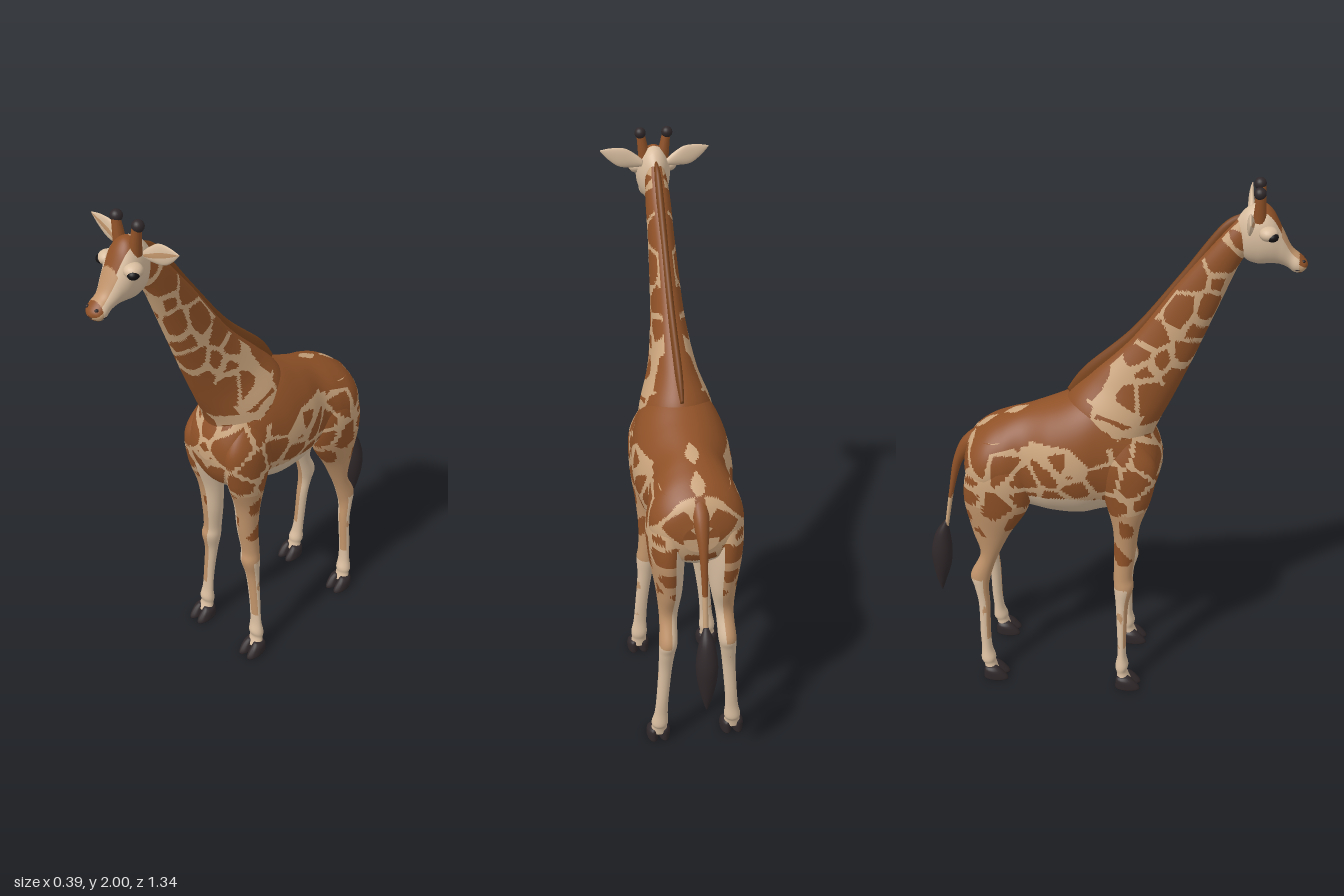
import * as THREE from 'three';

const mat = (name, color) => Object.assign(new THREE.MeshStandardMaterial({ color }), { name });
const MATS = [
  mat('patchBrown', 0x8f5127), mat('lineTan', 0xcaa47c), mat('cream', 0xd8bd9f),
  mat('darkHair', 0x30282a), mat('maneBrown', 0x7c451d), mat('eyeBlack', 0x151213),
  mat('legTan', 0xc0936a),
];
const [BROWN, TAN, CREAM, DARK, MANE, EYE, LEGTAN] = [0, 1, 2, 3, 4, 5, 6];

// Smooth interpolation through a list of section rows
function sample(rows, t) {
  const i = Math.min(Math.floor(t), rows.length - 2), f = t - i;
  const r = k => rows[Math.max(0, Math.min(rows.length - 1, k))];
  return rows[0].map((_, c) => {
    const a = r(i - 1)[c], b = r(i)[c], d = r(i + 1)[c], e = r(i + 2)[c];
    return b + 0.5 * f * (d - a + f * (2 * a - 5 * b + 4 * d - e + f * (3 * (b - d) + e - a)));
  });
}

// Loft through rings [z1, y1, z2, y2, halfWidth, centreX]; paint(p, cos, sin) picks a material
function loft(name, rows, steps, sides, paint, mirror = 1) {
  const rings = (rows.length - 1) * steps + 1, pos = [], tris = [];
  const secs = rows.map(r => [...r.slice(0, 5), (r[5] || 0) * mirror]);
  for (let i = 0; i < rings; i++) {
    const [z1, y1, z2, y2, w, cx] = sample(secs, i / steps);
    for (let j = 0; j < sides; j++) {
      const a = j / sides * Math.PI * 2, c = Math.cos(a), s = Math.sin(a);
      pos.push(cx + w * c, (y1 + y2) / 2 + (y1 - y2) / 2 * s, (z1 + z2) / 2 + (z1 - z2) / 2 * s);
    }
  }
  const first = rings * sides;
  for (const r of [secs[0], secs[secs.length - 1]]) pos.push(r[5], (r[1] + r[3]) / 2, (r[0] + r[2]) / 2);
  for (let j = 0; j < sides; j++) {
    const k = (j + 1) % sides, e = (rings - 1) * sides;
    tris.push([first, k, j, j], [first + 1, e + j, e + k, j]);
    for (let i = 0; i < rings - 1; i++) {
      const p = i * sides, q = p + sides;
      tris.push([p + j, p + k, q + j, j], [p + k, q + k, q + j, j]);
    }
  }
  // Sort faces by colour, and turn them outward by the sign of the volume
  const V = i => new THREE.Vector3(pos[3 * i], pos[3 * i + 1], pos[3 * i + 2]);
  const buckets = MATS.map(() => []), p = new THREE.Vector3();
  let vol = 0;
  for (const [a, b, c, j] of tris) {
    const A = V(a), B = V(b), C = V(c), ang = (j + 0.5) / sides * Math.PI * 2;
    p.copy(A).add(B).add(C).divideScalar(3);
    vol += A.dot(B.cross(C));
    buckets[typeof paint === 'number' ? paint : paint(p, Math.cos(ang), Math.sin(ang))].push([a, b, c]);
  }
  const g = new THREE.BufferGeometry(), index = [];
  g.setAttribute('position', new THREE.Float32BufferAttribute(pos, 3));
  buckets.forEach((list, m) => {
    if (list.length) g.addGroup(index.length, list.length * 3, m);
    for (const [a, b, c] of list) index.push(...(vol > 0 ? [a, b, c] : [a, c, b]));
  });
  g.setIndex(index);
  g.computeVertexNormals();
  const mesh = new THREE.Mesh(g, MATS);
  mesh.name = name;
  return mesh;
}

// Cellular coat pattern: distance from the nearest cell border
const hash = (x, y, z, k) => {
  const v = Math.sin(x * 127.1 + y * 311.7 + z * 74.7 + k * 53.3) * 43758.5453;
  return v - Math.floor(v);
};
function border(p, size) {
  const x = Math.abs(p.x) / size, y = p.y / size, z = p.z / size;
  let f1 = 9, f2 = 9;
  for (let i = -1; i < 2; i++) for (let j = -1; j < 2; j++) for (let k = -1; k < 2; k++) {
    const a = Math.floor(x) + i, b = Math.floor(y) + j, c = Math.floor(z) + k;
    const d = Math.hypot(a + hash(a, b, c, 1) - x, b + hash(a, b, c, 2) - y, c + hash(a, b, c, 3) - z);
    if (d < f1) { f2 = f1; f1 = d; } else if (d < f2) f2 = d;
  }
  return (f2 - f1) * size;
}
const coat = p => (border(p, 0.11) > 0.0135 + Math.max(0, 0.95 - p.y) * 0.055 ? BROWN : TAN);
const trunkPaint = (p, c, s) => {
  if (p.y < 0.86 - Math.abs(p.z + 0.12) * 0.12 && (p.z < 0.06 || Math.abs(p.x) < 0.06)) return CREAM;
  if (s > 0.5 && p.z < -0.25 && p.z > -0.46) {
    return Math.abs(p.x) < 0.012 + 0.012 * Math.sin(p.z * 55) ? TAN : BROWN;
  }
  return p.y > 1.07 && p.z < 0.06 ? BROWN : coat(p);
};
const neckPaint = (p, c, s) => {
  const throat = s > 0.6 && p.y > 1.14 && p.y < 1.34;
  return throat || s < -0.85 || (p.y < 1.25 && p.z < -0.05) ? BROWN : coat(p);
};
// Legs: patches fade into tan, then cream; the inner faces are cream
const legPaint = (side, patchEnd) => (p, c, s) => {
  if (c * side < -0.3 && p.y < 0.86) return CREAM;
  if (p.y < 0.45) return p.y > 0.18 && (s > 0.45 || border(p, 0.09) > 0.045) ? LEGTAN : CREAM;
  const m = p.y < patchEnd ? LEGTAN : coat(p);
  return m === TAN && p.y < 0.8 ? LEGTAN : m;
};
const headPaint = (p, c, s) => {
  if (p.z > 0.638) return s > 0.3 ? BROWN : s < -0.6 ? BROWN : TAN;
  if (p.z > 0.575) return s > 0.68 ? LEGTAN : CREAM;
  return s > 0.8 && p.z > 0.495 ? BROWN : CREAM;
};

const TRUNK = [
  [-.504, .96, -.504, .86, .06], [-.478, 1.03, -.478, .8, .125], [-.42, 1.08, -.42, .77, .16],
  [-.35, 1.115, -.35, .755, .158], [-.27, 1.145, -.27, .745, .145], [-.18, 1.18, -.18, .732, .17],
  [-.08, 1.225, -.08, .728, .174], [0, 1.24, 0, .748, .16], [.08, 1.2, .08, .765, .146],
  [.15, 1.13, .15, .8, .13], [.19, 1.06, .19, .86, .1], [.212, 1, .212, .94, .03],
];
const NECK = [
  [.5, 1.8, .435, 1.885, .036], [.45, 1.73, .37, 1.81, .044], [.39, 1.58, .25, 1.655, .048],
  [.308, 1.37, .1, 1.445, .06], [.244, 1.22, -.04, 1.3, .085], [.19, 1.1, -.13, 1.2, .126],
  [.16, .98, -.17, 1.08, .148],
];
const HEADROWS = [
  [.43, 1.88, .44, 1.8, .025], [.465, 1.92, .46, 1.748, .048], [.51, 1.935, .5, 1.73, .06],
  [.545, 1.91, .54, 1.732, .06], [.58, 1.848, .572, 1.732, .048], [.612, 1.79, .6, 1.722, .036],
  [.642, 1.765, .62, 1.708, .038], [.661, 1.746, .642, 1.704, .031], [.668, 1.732, .658, 1.712, .012],
];
const MANEROWS = [
  [.46, 1.9, .44, 1.85, .008], [.385, 1.858, .37, 1.78, .013], [.255, 1.678, .27, 1.62, .014],
  [.1, 1.475, .13, 1.41, .014], [-.065, 1.318, -.02, 1.25, .014], [-.13, 1.225, -.09, 1.18, .008],
];
const FRONTLEG = [
  [.12, 1.1, 0, 1.1, .03, .09], [.195, .99, -.03, .99, .06, .1], [.185, .86, .015, .83, .06, .1],
  [.142, .72, .043, .71, .049, .094], [.128, .6, .048, .6, .041, .092], [.117, .5, .048, .5, .035, .1],
  [.123, .45, .05, .44, .037, .105], [.105, .37, .057, .37, .028, .112], [.1, .25, .064, .25, .024, .125],
  [.1, .15, .068, .15, .025, .133], [.11, .1, .06, .09, .031, .137], [.105, .07, .066, .06, .028, .138],
  [.12, .035, .066, .03, .034, .14],
];
const HINDLEG = [
  [-.3, 1.06, -.43, 1.04, .03, .09], [-.25, .92, -.488, .92, .066, .098], [-.265, .78, -.502, .8, .062, .1],
  [-.34, .65, -.478, .66, .046, .095], [-.395, .53, -.453, .56, .032, .1], [-.42, .45, -.493, .465, .032, .105],
  [-.428, .4, -.482, .41, .028, .11], [-.425, .33, -.468, .33, .024, .115], [-.426, .2, -.466, .2, .022, .125],
  [-.422, .13, -.463, .13, .024, .13], [-.41, .09, -.466, .08, .03, .134], [-.41, .065, -.456, .06, .027, .135],
  [-.4, .035, -.452, .03, .033, .137],
];
const TAIL = [
  [-.44, 1.06, -.46, .98, .035], [-.515, 1, -.495, .93, .026], [-.558, .9, -.53, .88, .016],
  [-.583, .76, -.565, .755, .01], [-.607, .61, -.593, .605, .009], [-.612, .57, -.6, .57, .009],
];
const TUFT = [
  [-.61, .62, -.597, .62, .008], [-.645, .57, -.592, .57, .026], [-.667, .49, -.587, .49, .038],
  [-.665, .42, -.595, .42, .034], [-.655, .35, -.617, .35, .019], [-.64, .295, -.636, .295, .003],
];
const EAR = [
  [.01, 0, -.01, 0, .012], [.012, .03, -.012, .03, .024], [.007, .075, -.012, .075, .034],
  [.004, .12, -.008, .12, .022], [.001, .158, -.002, .158, .002],
];

export function createModel() {
  const model = new THREE.Group();
  model.name = 'giraffe';
  const add = (...m) => model.add(...m);
  const ball = (name, m, r, x, y, z, sx = 1, sy = 1, sz = 1) => {
    const b = new THREE.Mesh(new THREE.SphereGeometry(r, 20, 14), MATS[m]);
    b.name = name;
    b.position.set(x, y, z);
    b.scale.set(sx, sy, sz);
    add(b);
  };

  add(
    loft('trunk', TRUNK, 10, 140, trunkPaint),
    loft('neck', NECK, 20, 90, neckPaint),
    loft('head', HEADROWS, 10, 60, headPaint),
    loft('mane', MANEROWS, 10, 14, MANE),
    loft('tail', TAIL, 6, 16, p => (p.y < 0.74 ? TAN : BROWN)),
    loft('tailTuft', TUFT, 6, 20, DARK),
  );

  for (const s of [1, -1]) {
    const side = s > 0 ? 'left' : 'right';
    add(loft(side + 'FrontLeg', FRONTLEG, 8, 44, legPaint(s, 0.52), s));
    add(loft(side + 'HindLeg', HINDLEG, 8, 44, legPaint(s, 0.64), s));

    // Cloven hooves
    for (const [part, z, x] of [['Front', .062, .14], ['Hind', -.455, .137]]) {
      for (const toe of [-.021, .021]) {
        const hoof = [
          [z + .05, .055, z + .008, .05, .012, x + toe * .8], [z + .07, .038, z + .002, .04, .02, x + toe],
          [z + .092, .012, z, .012, .022, x + toe], [z + .096, 0, z, 0, .021, x + toe],
        ];
        add(loft(side + part + 'Hoof', hoof, 3, 16, DARK, s));
      }
    }

    // Ears with a tan inner face
    const ear = loft(side + 'Ear', EAR, 6, 24, (p, c, sn) => (sn > 0 && Math.abs(c) < .35 ? LEGTAN : CREAM));
    ear.position.set(s * .046, 1.878, .475);
    ear.rotation.z = -s * 1.23;
    add(ear);

    // Horns
    const horn = new THREE.Mesh(new THREE.CylinderGeometry(.014, .022, .1, 16), MATS[BROWN]);
    horn.name = side + 'Horn';
    horn.position.set(s * .04, 1.935, .502);
    horn.rotation.z = -s * .15;
    add(horn);
    ball(side + 'HornTip', DARK, .02, s * .048, 1.981, .498);

    // Face details
    ball(side + 'Brow', CREAM, .03, s * .057, 1.852, .533, 1.05, .8, 1.05);
    ball(side + 'Eye', EYE, .02, s * .071, 1.847, .545, .95, .8, 1);
    ball(side + 'Nostril', DARK, .007, s * .021, 1.749, .652, .8, .7, 1);
  }

  // Mouth line
  const mouth = new THREE.Mesh(new THREE.TorusGeometry(.034, .0025, 6, 24, Math.PI), MATS[DARK]);
  mouth.name = 'mouth';
  mouth.position.set(0, 1.722, .628);
  mouth.rotation.x = Math.PI / 2;
  add(mouth);
  return model;
}
